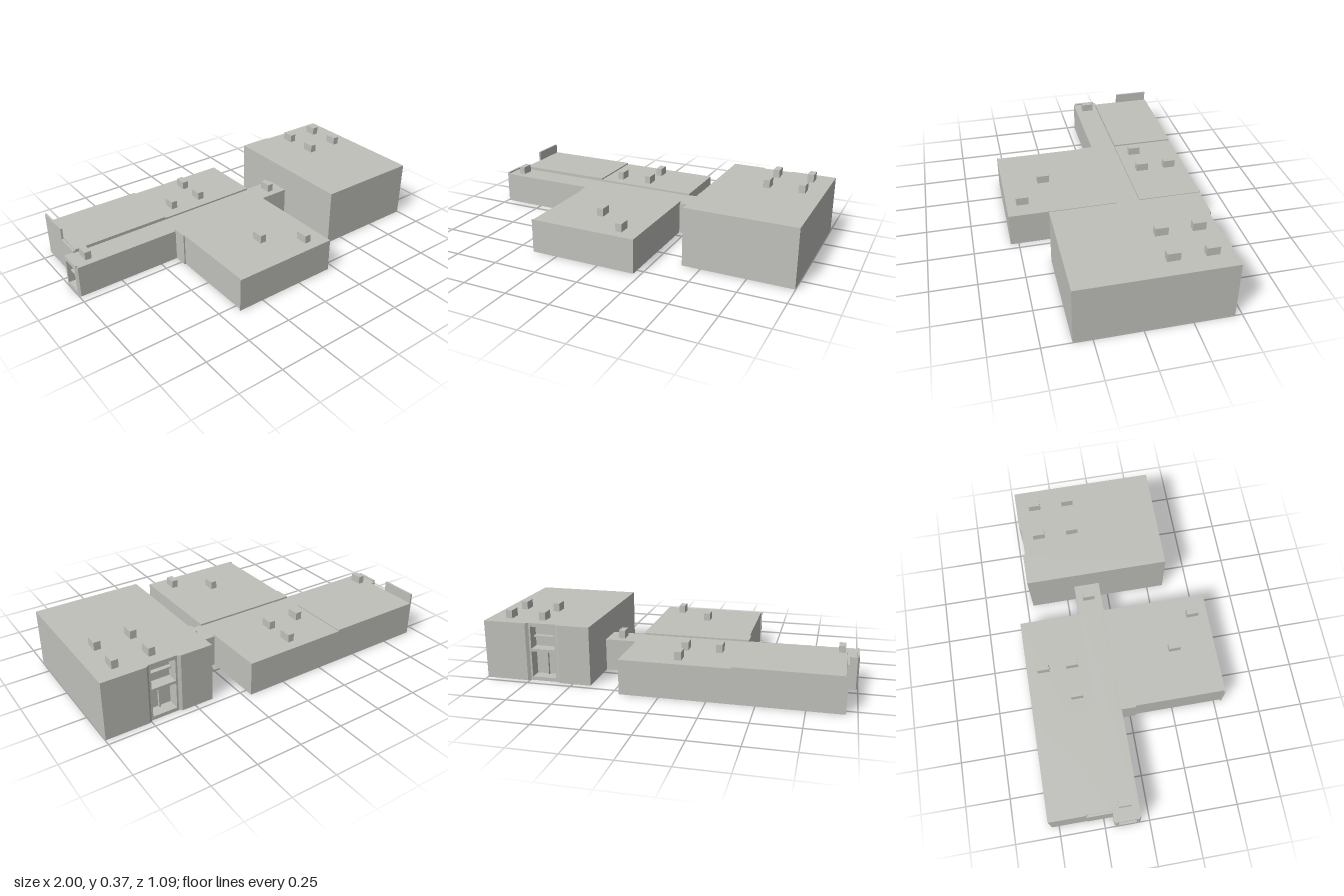
import * as THREE from 'three';

export function createModel() {
  const model = new THREE.Group();
  model.name = 'buildingComplex';
  const concrete = new THREE.MeshStandardMaterial({ color: 0xc0c0bb });
  concrete.name = 'paleConcrete';

  // Extrudes an [x, z] footprint from height y0 to y1
  function slab(parent, name, plan, y0, y1) {
    const shape = new THREE.Shape(plan.map(([x, z]) => new THREE.Vector2(x, -z)));
    const geo = new THREE.ExtrudeGeometry(shape, { depth: y1 - y0, bevelEnabled: false });
    geo.rotateX(-Math.PI / 2).translate(0, y0, 0);
    const mesh = new THREE.Mesh(geo, concrete);
    mesh.name = name;
    parent.add(mesh);
  }

  function box(parent, name, x0, x1, y0, y1, z0, z1) {
    const mesh = new THREE.Mesh(new THREE.BoxGeometry(x1 - x0, y1 - y0, z1 - z0), concrete);
    mesh.position.set((x0 + x1) / 2, (y0 + y1) / 2, (z0 + z1) / 2);
    mesh.name = name;
    parent.add(mesh);
  }

  function wing(name) {
    const group = new THREE.Group();
    group.name = name;
    model.add(group);
    return group;
  }

  // Tall hall, with a shallow notch at the back and a deep entrance bay in it
  const hall = wing('tallHall');
  const hallPlan = (bay) => [
    [0.397, 0.348], [0.998, 0.348], [0.998, -0.464], [0.76, -0.464], [0.745, -0.452],
    ...bay,
    [0.59, -0.452], [0.575, -0.464], [0.397, -0.464],
  ];
  const openBay = [[0.735, -0.452], [0.735, -0.385], [0.6, -0.385], [0.6, -0.452]];
  slab(hall, 'hallBase', hallPlan([]), 0, 0.02);
  slab(hall, 'hallWalls', hallPlan(openBay), 0.02, 0.305);
  slab(hall, 'hallRoof', hallPlan([]), 0.305, 0.325);
  box(hall, 'entranceCanopy', 0.6, 0.735, 0.165, 0.18, -0.45, -0.385);
  box(hall, 'entranceTransom', 0.6, 0.735, 0.235, 0.243, -0.41, -0.385);
  box(hall, 'doorMullion', 0.663, 0.672, 0.02, 0.165, -0.4, -0.385);

  // Front wing, its side wall slightly inset between two piers
  const front = wing('frontWing');
  slab(front, 'frontWingBody', [
    [-0.398, -0.06], [0.212, -0.06], [0.212, 0.545], [-0.398, 0.545],
    [-0.398, 0.538], [-0.39, 0.538], [-0.39, 0.03], [-0.398, 0.03],
  ], 0, 0.19);

  // Back wing with a thicker roof on one half and a freestanding fin wall
  const back = wing('backWing');
  box(back, 'backWingBody', -0.935, 0.212, 0, 0.19, -0.545, -0.19);
  box(back, 'raisedRoof', -0.935, -0.375, 0.19, 0.198, -0.545, -0.19);
  box(back, 'sideWall', -0.947, -0.935, 0, 0.19, -0.34, -0.19);
  box(back, 'finWall', -0.944, -0.933, 0, 0.255, -0.54, -0.338);

  // Corridor with a chamfered, open window frame at the far end
  const corridor = wing('corridor');
  const corridorPlan = (bay) => [
    [0.4, -0.05], [-0.99, -0.05], [-1, -0.06], ...bay,
    [-1, -0.186], [-0.99, -0.198], [0.4, -0.198],
  ];
  const windowBay = [[-1, -0.073], [-0.955, -0.073], [-0.955, -0.173], [-1, -0.173]];
  slab(corridor, 'corridorBase', corridorPlan([]), 0, 0.025);
  slab(corridor, 'corridorWalls', corridorPlan(windowBay), 0.025, 0.165);
  slab(corridor, 'corridorRoof', corridorPlan([]), 0.165, 0.18);
  box(corridor, 'endLip', -0.998, -0.985, 0.18, 0.188, -0.185, -0.06);
  box(corridor, 'windowRail', -0.98, -0.955, 0.09, 0.1, -0.173, -0.073);
  box(corridor, 'windowMullion', -0.975, -0.955, 0.025, 0.165, -0.127, -0.119);

  // Roof vents: [x, z, roof height]
  const vents = wing('roofVents');
  const spots = [
    [0.69, -0.355, 0.325], [0.885, -0.355, 0.325], [0.69, -0.16, 0.325], [0.885, -0.16, 0.325],
    [-0.09, -0.45, 0.19], [-0.275, -0.285, 0.19], [-0.09, -0.285, 0.19],
    [-0.908, -0.125, 0.18], [0.315, -0.125, 0.18],
    [-0.09, 0.31, 0.19], [0.1, 0.455, 0.19],
  ];
  for (const [x, z, y] of spots) {
    box(vents, 'roofVent', x - 0.018, x + 0.018, y, y + 0.045, z - 0.034, z + 0.034);
  }

  return model;
}
